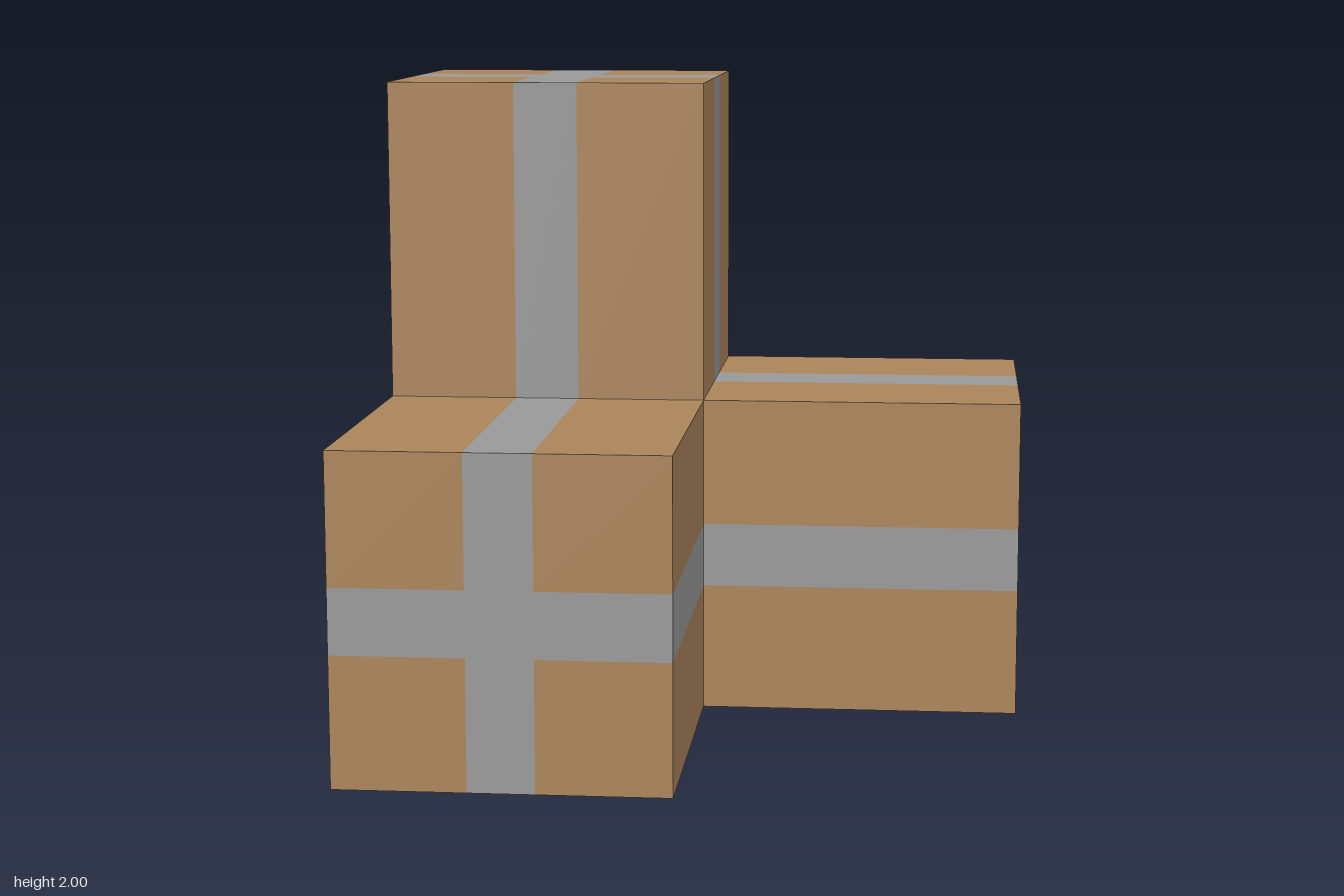
import * as THREE from 'three';

// Cut lines along x, y, z: band 1 is the tape stripe, band 3 is the arm sticking out
const CUTS = [
  [-1, -0.6, -0.4, 0, 1],
  [0, 0.4, 0.6, 1, 2],
  [-1, -0.6, -0.4, 0, 1],
];
const STRIPE = 1, ARM = 3;
const ARM_NAMES = ['sideArm', 'topArm', 'frontArm'];

const wood = new THREE.MeshStandardMaterial({ color: 0xab845b });
const tape = new THREE.MeshStandardMaterial({ color: 0x999999 });

// A cell is solid inside the corner block or in one arm only
const solid = (cell) =>
  cell.every((n) => n >= 0 && n <= ARM) && cell.filter((n) => n === ARM).length <= 1;

// Adds the rectangle on one side of a cell, wound to face outward
function addFace(list, cell, axis, dir) {
  const b = (axis + 1) % 3, c = (axis + 2) % 3;
  const corners = [[0, 0], [1, 0], [1, 1], [0, 1]].map(([u, v]) => {
    const p = [0, 0, 0];
    p[axis] = CUTS[axis][cell[axis] + (dir > 0 ? 1 : 0)];
    p[b] = CUTS[b][cell[b] + u];
    p[c] = CUTS[c][cell[c] + v];
    return p;
  });
  const order = dir > 0 ? [0, 1, 2, 0, 2, 3] : [0, 2, 1, 0, 3, 2];
  for (const n of order) list.push(...corners[n]);
}

function makeMesh(positions, material, name) {
  const geometry = new THREE.BufferGeometry();
  geometry.setAttribute('position', new THREE.Float32BufferAttribute(positions, 3));
  geometry.computeVertexNormals();
  const mesh = new THREE.Mesh(geometry, material);
  mesh.name = name;
  return mesh;
}

export function createModel() {
  const model = new THREE.Group();
  model.name = 'threeArmedCorner';

  // Collect the exposed faces of each part, split into casing and flush stripes
  const parts = {};
  for (const name of ['cornerBlock', ...ARM_NAMES]) parts[name] = { casing: [], stripes: [] };
  for (let i = 0; i <= ARM; i++)
    for (let j = 0; j <= ARM; j++)
      for (let k = 0; k <= ARM; k++) {
        const cell = [i, j, k];
        if (!solid(cell)) continue;
        const part = parts[ARM_NAMES[cell.indexOf(ARM)] ?? 'cornerBlock'];
        for (let axis = 0; axis < 3; axis++)
          for (const dir of [-1, 1]) {
            const next = cell.slice();
            next[axis] += dir;
            if (solid(next)) continue;
            const striped = cell.some((n, a) => a !== axis && n === STRIPE);
            addFace(striped ? part.stripes : part.casing, cell, axis, dir);
          }
      }

  for (const [name, { casing, stripes }] of Object.entries(parts)) {
    const group = new THREE.Group();
    group.name = name;
    group.add(makeMesh(casing, wood, name + 'Casing'), makeMesh(stripes, tape, name + 'Stripes'));
    model.add(group);
  }
  return model;
}
